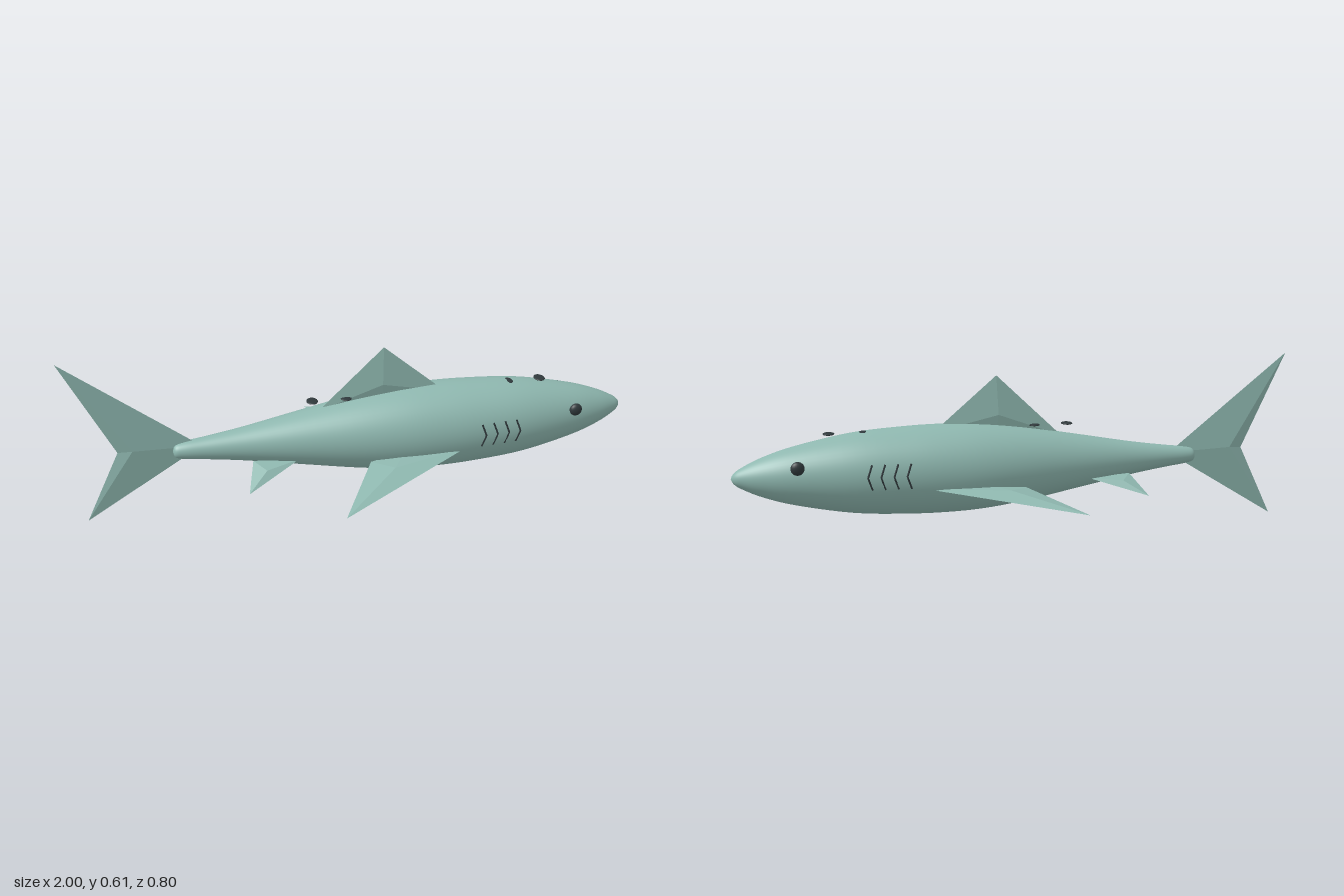
import * as THREE from 'three';

const skin = new THREE.MeshStandardMaterial({ color: 0x8fb8b0 });
skin.name = 'skin';
const dark = new THREE.MeshStandardMaterial({ color: 0x2f383b });
dark.name = 'dark';

const V = (x, y, z) => new THREE.Vector3(x, y, z);
const AXIS_Y = 0.24;

// Faceted fin: an outline fanned to a raised centre on both sides.
function fin(name, outline, centre, thickness) {
  const pos = [];
  for (const side of [1, -1]) {
    const push = thickness.clone().multiplyScalar(side);
    const apex = centre.clone().add(push);
    outline.forEach((a, i) => {
      let b = outline[(i + 1) % outline.length];
      const n = b.clone().sub(a).cross(apex.clone().sub(a));
      const [p, q] = n.dot(push) > 0 ? [a, b] : [b, a];
      for (const v of [p, q, apex]) pos.push(v.x, v.y, v.z);
    });
  }
  const geo = new THREE.BufferGeometry();
  geo.setAttribute('position', new THREE.Float32BufferAttribute(pos, 3));
  geo.computeVertexNormals();
  const mesh = new THREE.Mesh(geo, skin);
  mesh.name = name;
  return mesh;
}

function ellipsoid(name, at, scale) {
  const mesh = new THREE.Mesh(new THREE.SphereGeometry(1, 20, 14), dark);
  mesh.name = name;
  mesh.position.copy(at);
  mesh.scale.copy(scale);
  return mesh;
}

export function createModel() {
  const model = new THREE.Group();
  model.name = 'shark';

  // Body: smooth spindle turned around the x axis (radius, x)
  const profile = new THREE.SplineCurve([
    [0, -0.65], [0.022, -0.642], [0.031, -0.61], [0.041, -0.53], [0.06, -0.4], [0.096, -0.2],
    [0.131, 0], [0.149, 0.15], [0.154, 0.28], [0.151, 0.42], [0.137, 0.6],
    [0.1, 0.79], [0.066, 0.9], [0.034, 0.968], [0.016, 0.992], [0, 1],
  ].map(([r, x]) => new THREE.Vector2(r, x)));
  const points = profile.getPoints(75);
  points.forEach((p) => { p.x = Math.max(0, p.x); });
  const bodyGeo = new THREE.LatheGeometry(points, 48);
  bodyGeo.rotateZ(-Math.PI / 2);
  const body = new THREE.Mesh(bodyGeo, skin);
  body.name = 'body';
  body.position.y = AXIS_Y;
  model.add(body);

  // Upright fins
  model.add(fin('tailFin',
    [V(-1, 0.605, 0), V(-0.835, 0.257, 0), V(-0.96, 0, 0), V(-0.55, 0.25, 0)],
    V(-0.785, 0.262, 0), V(0, 0, 0.012)));
  model.add(fin('dorsalFin',
    [V(-0.14, 0.335, 0), V(0.095, 0.557, 0), V(0.32, 0.365, 0), V(0.1, 0.33, 0)],
    V(0.09, 0.42, 0), V(0, 0, 0.014)));

  for (const s of [1, -1]) {
    const side = s > 0 ? 'Right' : 'Left';

    // Paired fins
    model.add(fin('pectoralFin' + side,
      [V(0.37, 0.2, 0.13 * s), V(-0.125, 0.147, 0.402 * s), V(0.02, 0.185, 0.13 * s), V(0.15, 0.195, 0.1 * s)],
      V(0.09, 0.18, 0.2 * s), V(0, 0.015, 0.003 * s)));
    model.add(fin('pelvicFin' + side,
      [V(-0.22, 0.19, 0.065 * s), V(-0.412, 0.138, 0.172 * s), V(-0.38, 0.195, 0.05 * s)],
      V(-0.34, 0.172, 0.1 * s), V(0, 0.01, 0.004 * s)));

    // Eye
    model.add(ellipsoid('eye' + side, V(0.785, 0.285, 0.098 * s), V(0.023, 0.023, 0.015)));

    // Gill slits: four thin chevrons
    for (let i = 0; i < 4; i++) {
      const x = 0.417 + i * 0.043;
      const z = 0.149 - i * 0.003;
      const path = new THREE.CurvePath();
      const top = V(x, 0.292, (z - 0.006) * s);
      const mid = V(x + 0.015, 0.25, (z + 0.002) * s);
      const low = V(x, 0.208, (z - 0.002) * s);
      path.add(new THREE.LineCurve3(top, mid));
      path.add(new THREE.LineCurve3(mid, low));
      const gill = new THREE.Mesh(new THREE.TubeGeometry(path, 8, 0.0035, 6), dark);
      gill.name = 'gill' + side + (i + 1);
      model.add(gill);
    }
  }

  // Flat spots along the back
  [-0.16, -0.04, 0.555, 0.675].forEach((x, i) => {
    model.add(ellipsoid('backSpot' + (i + 1), V(x, 0.378, 0), V(0.02, 0.0045, 0.026)));
  });

  return model;
}
